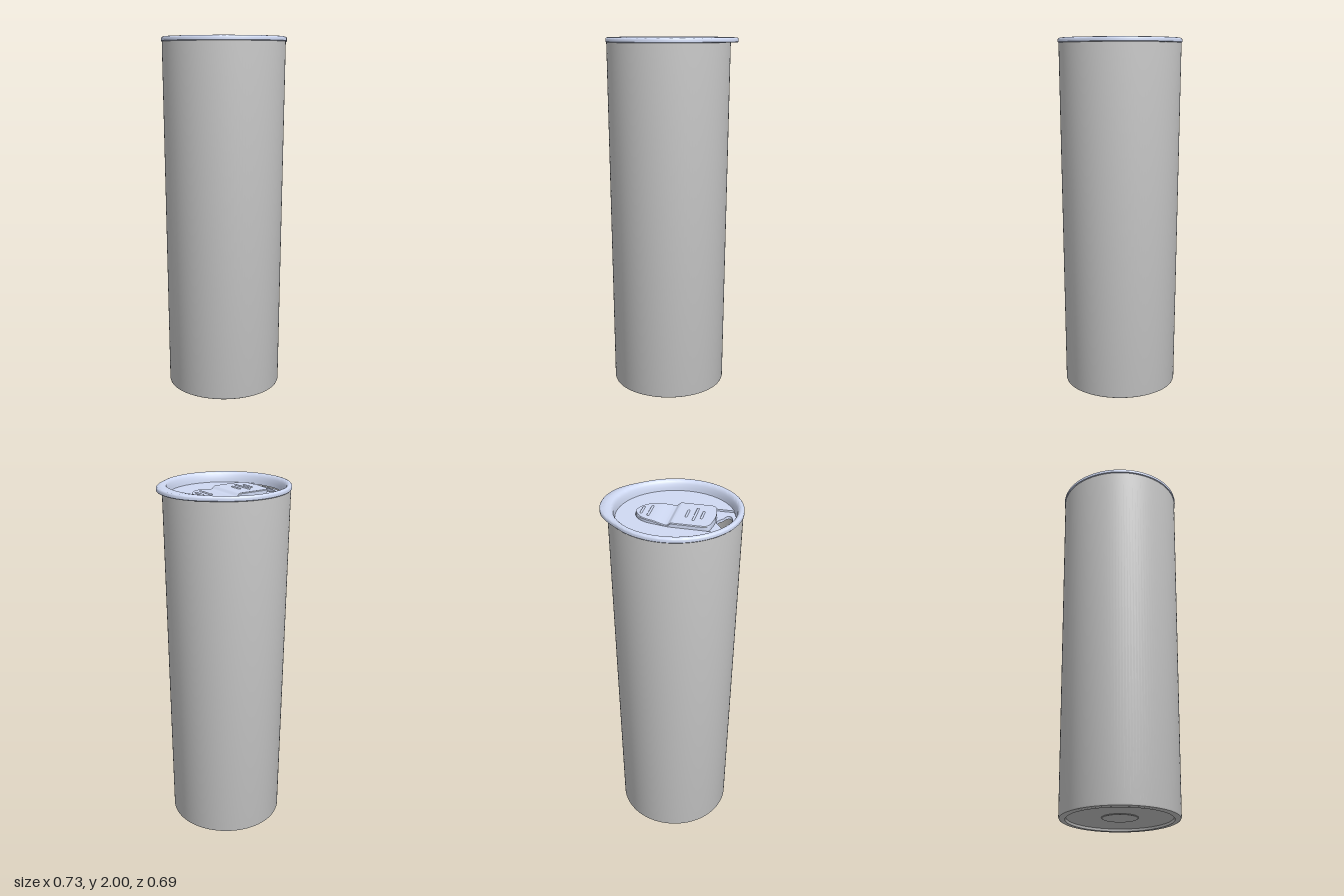
import * as THREE from 'three';
import { toCreasedNormals } from 'three/addons/utils/BufferGeometryUtils.js';

const CX = -0.02; // axis of the cup; the lid tab extends past it on +x
const V = (x, y) => new THREE.Vector2(x, y);
const steel = new THREE.MeshStandardMaterial({ color: 0xcccccc });
const plastic = new THREE.MeshStandardMaterial({ color: 0xd0daf4 });

function part(name, geometry, material, x = 0, y = 0, z = 0) {
  const mesh = new THREE.Mesh(geometry, material);
  mesh.name = name;
  mesh.position.set(x, y, z);
  return mesh;
}

const lathe = (pts) => new THREE.LatheGeometry(pts.map(([r, y]) => V(r, y)), 128);

// Horizontal plate whose top lies at y = 0; shape y becomes z
function plate(shape, depth) {
  const g = new THREE.ExtrudeGeometry(shape, { depth, bevelEnabled: false, curveSegments: 64 });
  return toCreasedNormals(g.rotateX(Math.PI / 2), 0.6);
}

// Half of the slider outline as x, half width
const OUTLINE = [
  [-0.228, 0.001], [-0.222, 0.06], [-0.211, 0.105], [-0.197, 0.12], [-0.17, 0.1225], [-0.09, 0.1225],
  [-0.015, 0.1215], [0.05, 0.11], [0.1, 0.099], [0.13, 0.085], [0.155, 0.063], [0.175, 0.032], [0.183, 0.001],
];

function outlinePoints(n) {
  return new THREE.CatmullRomCurve3(OUTLINE.map(([x, w]) => new THREE.Vector3(x, w, 0)), false, 'centripetal')
    .getSpacedPoints(n);
}

// Slider top: raised plate, step down to a thumb valley, gentle rise to the grip
function sliderTop(x) {
  const s = THREE.MathUtils.smoothstep;
  return 1.965 - 0.016 * s(x, -0.027, 0.0) + 0.011 * s(x, 0.0, 0.09);
}

// Lofted from cross-sections along x
function sliderGeometry() {
  const stations = outlinePoints(120);
  const pos = [], idx = [], K = 6, base = 1.933;
  stations.forEach((p, i) => {
    const h = sliderTop(p.x), w = Math.max(p.y, 0.001), b = Math.min(0.004, w * 0.5);
    const loop = [[-w, base], [-w, h - b], [-w + b, h], [w - b, h], [w, h - b], [w, base]];
    loop.forEach(([z, y]) => pos.push(p.x, y, z));
    if (i === stations.length - 1) return;
    for (let k = 0; k < K; k++) {
      const a = i * K + k, b2 = i * K + (k + 1) % K;
      idx.push(a, b2, a + K, b2, b2 + K, a + K);
    }
  });
  const g = new THREE.BufferGeometry();
  g.setAttribute('position', new THREE.Float32BufferAttribute(pos, 3));
  g.setIndex(idx);
  return toCreasedNormals(g, 0.5);
}

// Turned rim, with its outer edge pulled out into the opening tab around +x
function rimGeometry() {
  const g = lathe([
    [0.305, 1.9], [0.326, 1.9], [0.327, 1.973], [0.342, 1.973], [0.346, 1.977], [0.346, 1.988],
    [0.3445, 1.994], [0.34, 1.998], [0.332, 2], [0.324, 1.998], [0.317, 1.992], [0.311, 1.98],
    [0.307, 1.96], [0.305, 1.94],
  ]);
  const p = g.attributes.position;
  for (let i = 0; i < p.count; i++) {
    const x = p.getX(i), z = p.getZ(i), r = Math.hypot(x, z);
    const t = Math.min(1, Math.abs(Math.atan2(z, x)) / THREE.MathUtils.degToRad(51));
    const pull = 0.038 * 0.5 * (1 + Math.cos(Math.PI * t ** 1.35));
    const k = 1 + pull * THREE.MathUtils.clamp((r - 0.328) / 0.01, 0, 1) / r;
    p.setX(i, x * k);
    p.setZ(i, z * k);
  }
  return toCreasedNormals(g, 0.7);
}

// Lid floor with the slider channel cut from the -x wall
function floorShape() {
  const s = new THREE.Shape(), a = Math.asin(0.126 / 0.307);
  s.absarc(CX, 0, 0.307, -Math.PI + a, Math.PI - a, false);
  const half = outlinePoints(90).filter((p) => p.x > -0.17).map((p) => V(p.x + 0.003, p.y + 0.003));
  half.forEach((p) => s.lineTo(p.x, p.y));
  half.reverse().forEach((p) => s.lineTo(p.x, -p.y));
  s.closePath();
  return s;
}

// Disc below the channel, pierced by the drinking hole
function channelShape() {
  const s = new THREE.Shape().absarc(CX, 0, 0.307, 0, Math.PI * 2, false);
  const side = [[-0.304, 0.045], [-0.295, 0.07], [-0.283, 0.078], [-0.269, 0.07], [-0.259, 0.045], [-0.24, 0.022]];
  const loop = [[-0.308, 0], ...side, [-0.23, 0], ...side.map(([x, z]) => [x, -z]).reverse()];
  const curve = new THREE.CatmullRomCurve3(loop.map(([x, z]) => new THREE.Vector3(x, z, 0)), true);
  s.holes.push(new THREE.Path(curve.getPoints(60).slice(0, -1).map((p) => V(p.x, p.y))));
  return s;
}

export function createModel() {
  const model = new THREE.Group();
  model.name = 'tumbler';

  // Hollow tapered cup with a recessed base and central disc
  const cup = lathe([
    [0, 0.009], [0.095, 0.009], [0.098, 0.013], [0.283, 0.013], [0.287, 0], [0.312, 0], [0.319, 0.004],
    [0.322, 0.012], [0.3415, 1.974], [0.329, 1.974], [0.31, 0.04], [0, 0.04],
  ]);
  model.add(part('cup', toCreasedNormals(cup, 0.5), steel, CX));

  const lid = new THREE.Group();
  lid.name = 'lid';
  lid.add(part('lidRim', rimGeometry(), plastic, CX));
  lid.add(part('lidFloor', plate(floorShape(), 0.012), plastic, 0, 1.945));
  lid.add(part('channelFloor', plate(channelShape(), 0.015), plastic, 0, 1.935));

  // Slider with raised grip ribs: x, half length
  const slider = new THREE.Group();
  slider.name = 'slider';
  slider.add(part('sliderPlate', sliderGeometry(), plastic));
  for (const [x, half] of [[-0.16, 0.04], [-0.124, 0.07], [-0.082, 0.04], [0.11, 0.057], [0.151, 0.038]]) {
    const rib = new THREE.CapsuleGeometry(0.006, 2 * half - 0.012, 6, 12).rotateX(Math.PI / 2);
    slider.add(part('gripRib', rib, plastic, x, sliderTop(x)));
  }
  lid.add(slider);
  model.add(lid);
  return model;
}
